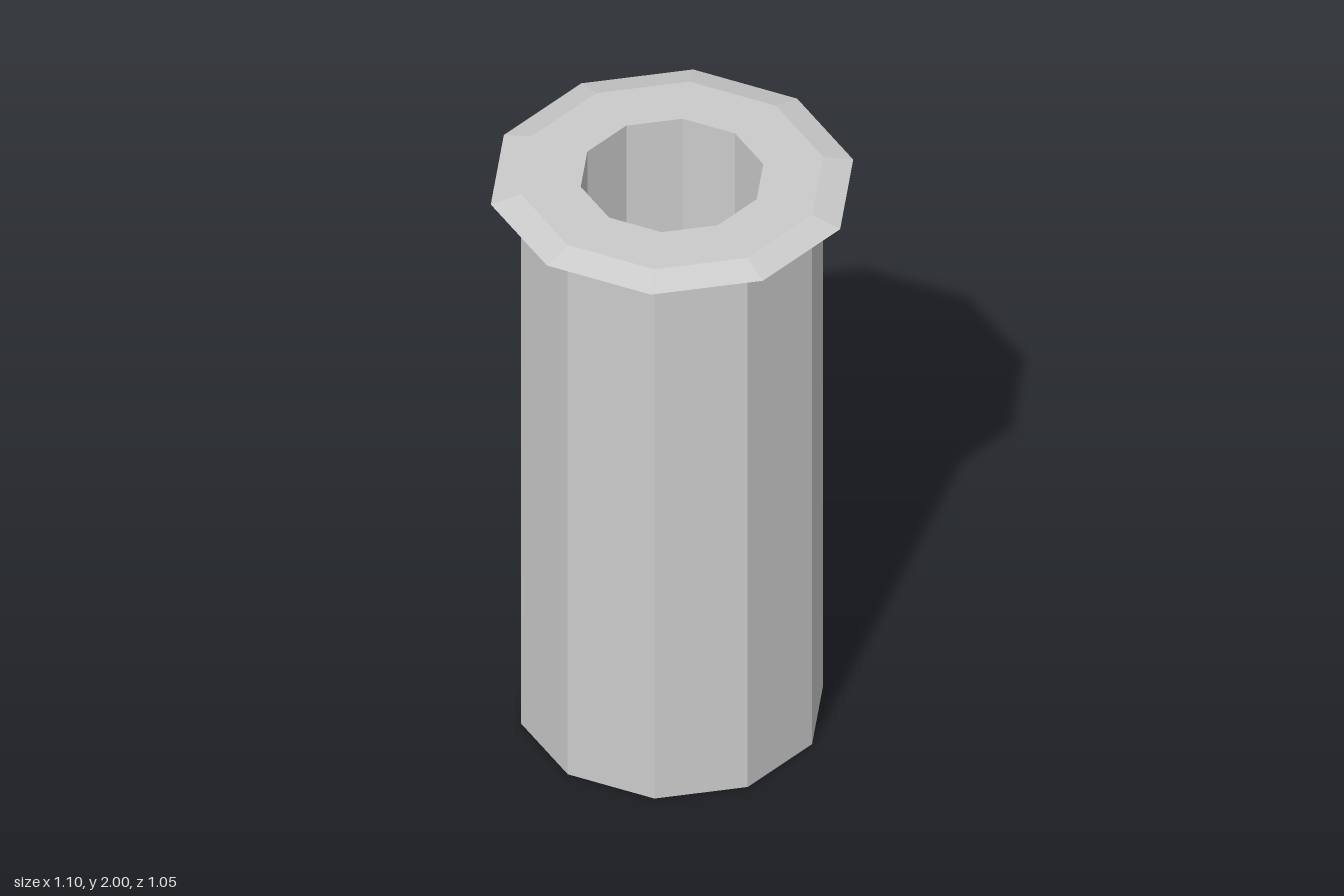
import * as THREE from 'three';

const SIDES = 10;
const INNER = 0.278, OUTER = 0.46, RIM = 0.552;
const FLANGE_BOTTOM = 1.95, FLANGE_MID = 1.975, TOP = 2;

export function createModel() {
  const group = new THREE.Group();
  group.name = 'flangedSleeve';
  const material = new THREE.MeshStandardMaterial({ color: 0xcccccc, flatShading: true });

  // Ten-sided ring swept from a [radius, height] profile, corners on the x axis
  function addRing(name, profile) {
    const points = profile.map(([r, y]) => new THREE.Vector2(r, y));
    const mesh = new THREE.Mesh(new THREE.LatheGeometry(points, SIDES, Math.PI / 2), material);
    mesh.name = name;
    group.add(mesh);
  }

  // Sleeve: bore wall, bottom face and outer wall
  addRing('sleeve', [[INNER, TOP], [INNER, 0], [OUTER, 0], [OUTER, FLANGE_BOTTOM]]);

  // Flange: sharp bevelled lip and flat top face
  addRing('flange', [[OUTER, FLANGE_BOTTOM], [RIM, FLANGE_MID], [OUTER, TOP], [INNER, TOP]]);

  return group;
}
